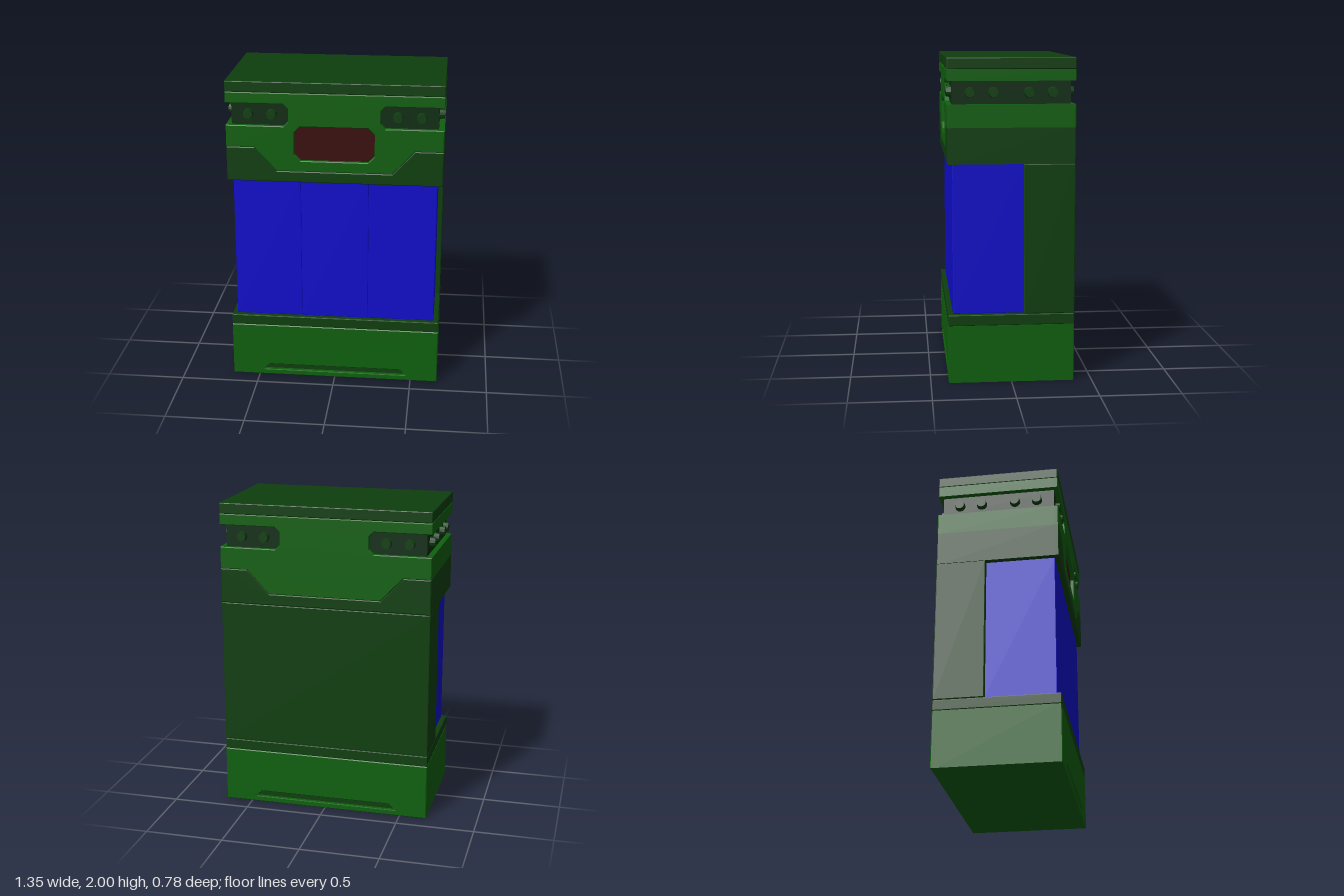
import * as THREE from 'three';
import { RoundedBoxGeometry } from 'three/addons/geometries/RoundedBoxGeometry.js';

const W = 0.675, D = 0.39, INNER = 0.36; // half width, half depth, recessed half depth
const paint = (color) => new THREE.MeshStandardMaterial({ color, flatShading: true });

export function createModel() {
  const model = new THREE.Group();
  const green = paint(0x0f600e), dark = paint(0x0e3f0e), recess = paint(0x0d2d12);
  const blue = paint(0x100dcc), red = paint(0x3a0c0c);

  const add = (name, geo, mat, parent = model) => {
    const mesh = new THREE.Mesh(geo, mat);
    mesh.name = name;
    parent.add(mesh);
    return mesh;
  };
  // Box given by its extents, optionally with softened edges
  const block = (name, mat, x0, x1, y0, y1, z0, z1, r = 0) => {
    const s = [x1 - x0, y1 - y0, z1 - z0];
    const geo = r ? new RoundedBoxGeometry(...s, 1, r) : new THREE.BoxGeometry(...s);
    add(name, geo, mat).position.set((x0 + x1) / 2, (y0 + y1) / 2, (z0 + z1) / 2);
  };
  // Mirrors a right-hand outline to make a closed symmetric one
  const mirrored = (half) => [...half, ...half.map(([x, y]) => [-x, y]).reverse()];
  const points = (list) => list.map(([x, y]) => new THREE.Vector2(x, y));
  // Bevelled plate between two z values
  const plate = (name, mat, outline, z0, z1, parent, hole) => {
    const shape = new THREE.Shape(points(outline));
    if (hole) shape.holes.push(new THREE.Path(points(hole)));
    const b = Math.min(0.005, (z1 - z0) / 3);
    const geo = new THREE.ExtrudeGeometry(shape, {
      depth: z1 - z0 - 2 * b, bevelThickness: b, bevelSize: b, bevelOffset: -b, bevelSegments: 1,
    });
    geo.translate(0, 0, z0 + b);
    return add(name, geo, mat, parent);
  };

  // Stacked body
  block('baseCore', green, -W, W, 0, 0.36, -INNER, INNER);
  block('baseBand', dark, -W, W, 0.36, 0.43, -D, D, 0.006);
  block('rearBody', dark, -W, W, 0.43, 1.36, -D, -0.075, 0.006);
  block('collarCore', dark, -W, W, 1.36, 1.58, -INNER, INNER);
  block('headBelt', green, -W, W, 1.58, 1.72, -INNER, INNER);
  block('studRecess', recess, -0.64, 0.64, 1.72, 1.86, -INNER, INNER);
  block('headRim', green, -W, W, 1.86, 1.93, -INNER, INNER);
  block('topCap', dark, -W, W, 1.93, 2, -D, D, 0.006);

  // Three blue front panels
  for (let i = 0; i < 3; i++) {
    const x = -0.642 + i * 0.428;
    block('bluePanel', blue, x, x + 0.428, 0.43, 1.36, -0.085, INNER, 0.004);
  }

  // Outlines shared by the front and back faces
  const headOutline = mirrored([
    [0.36, 1.43], [0.5, 1.58], [W, 1.58], [W, 1.72], [0.315, 1.72], [0.285, 1.75],
    [0.285, 1.83], [0.315, 1.86], [W, 1.86], [W, 1.93],
  ]);
  const collarOutline = mirrored([
    [W, 1.36], [W, 1.58], [0.5, 1.58], [0.36, 1.43],
  ]);
  const baseOutline = mirrored([[W, 0], [W, 0.36]]);
  const slot = mirrored([[0.47, 0.035], [0.43, 0.075]]);
  const windowHole = mirrored([[0.21, 1.5], [0.25, 1.54], [0.25, 1.68], [0.21, 1.72]]);

  const stud = new THREE.CylinderGeometry(0.029, 0.034, 0.035, 12);
  for (const front of [true, false]) {
    const face = new THREE.Group();
    face.name = front ? 'frontFace' : 'backFace';
    face.rotation.y = front ? 0 : Math.PI;
    model.add(face);
    plate('headPlate', green, headOutline, 0.354, D, face, front ? windowHole : undefined);
    plate('collarPlate', dark, collarOutline, 0.354, D, face);
    plate('basePlate', green, baseOutline, 0.354, D, face, slot);
    plate('slotFloor', dark, mirrored([[0.48, 0.025], [0.48, 0.085]]), 0.355, 0.363, face);
    if (front) {
      plate('windowPane', red, mirrored([[0.26, 1.49], [0.26, 1.73]]), 0.355, 0.364, face);
    }
    // Studs on this face
    for (const x of [-0.535, -0.39, 0.39, 0.535]) {
      const m = add('faceStud', stud, dark, face);
      m.rotation.x = Math.PI / 2;
      m.position.set(x, 1.79, INNER + 0.0125);
    }
  }

  // Studs on both sides
  for (const side of [-1, 1]) {
    for (const z of [-0.25, -0.108, 0.108, 0.25]) {
      const m = add('sideStud', stud, dark);
      m.rotation.z = -side * Math.PI / 2;
      m.position.set(side * 0.656, 1.79, z);
    }
  }
  return model;
}
